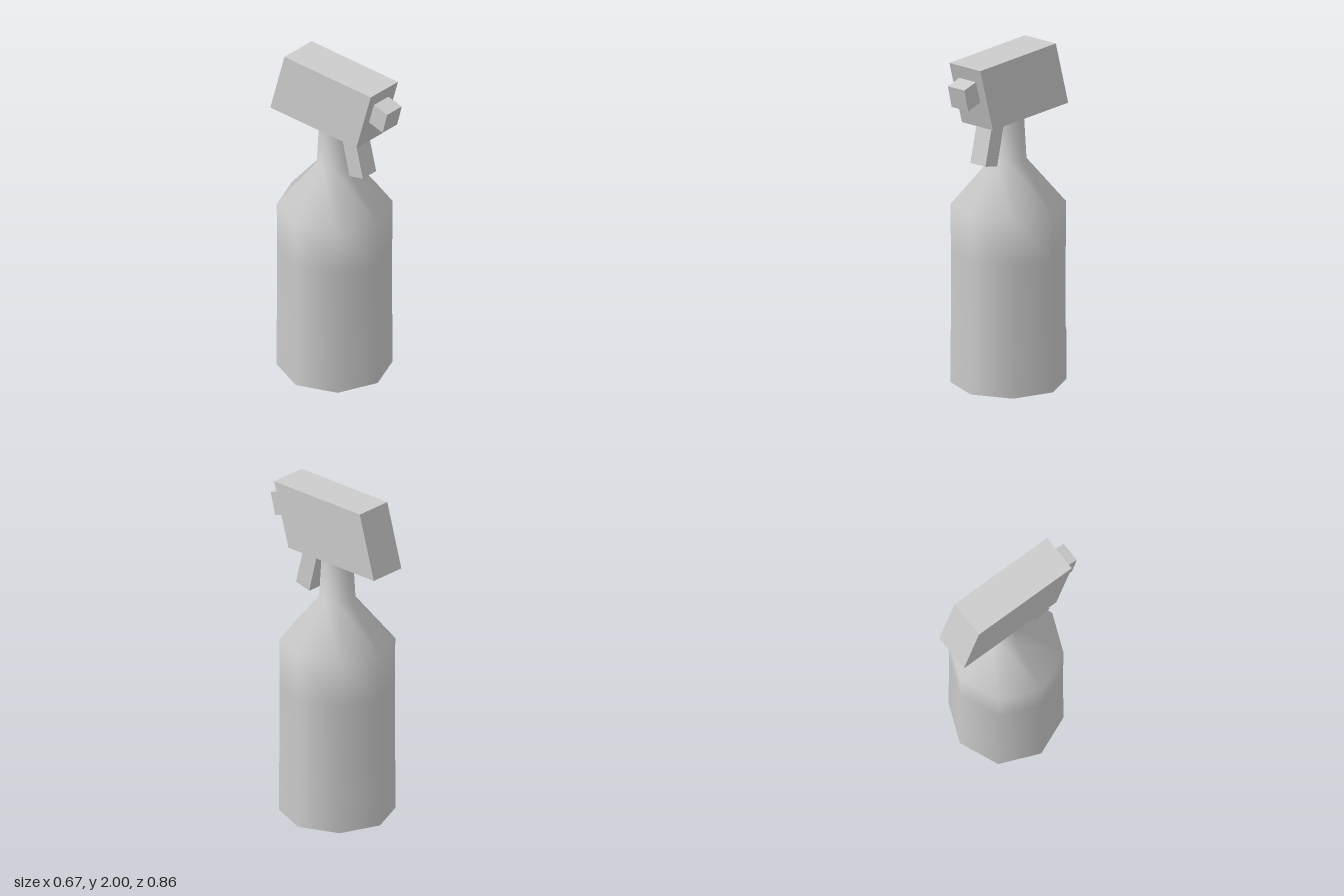
import * as THREE from 'three';

const grey = new THREE.MeshStandardMaterial({ color: 0xcccccc });
grey.name = 'grey plastic';

// Slab across x from a side outline of [z, y] points
function slab(name, outline, width) {
  const shape = new THREE.Shape(outline.map(([z, y]) => new THREE.Vector2(z, y)));
  const geometry = new THREE.ExtrudeGeometry(shape, { depth: width, bevelEnabled: false });
  geometry.translate(0, 0, -width / 2).rotateY(-Math.PI / 2);
  const mesh = new THREE.Mesh(geometry, grey);
  mesh.name = name;
  return mesh;
}

export function createModel() {
  const model = new THREE.Group();
  model.name = 'sprayBottle';
  const sides = 8;
  const axisZ = -0.035;

  // Smooth eight-sided bottle with shoulder and neck
  const profile = [
    [0.335, 0], [0.335, 0.3], [0.332, 0.32], [0.332, 0.8], [0.335, 1.08], [0.105, 1.35], [0.09, 1.62],
  ].map(([r, y]) => new THREE.Vector2(r, y));
  const bottle = new THREE.Mesh(new THREE.LatheGeometry(profile, sides), grey);
  bottle.name = 'bottle';
  bottle.position.z = axisZ;
  model.add(bottle);

  // Flat base
  const base = new THREE.Mesh(new THREE.CircleGeometry(0.335, sides).rotateX(Math.PI / 2), grey);
  base.name = 'base';
  base.position.z = axisZ;
  model.add(base);

  // Slanted spray head, nozzle and trigger
  model.add(
    slab('sprayHead', [[0.24, 1.613], [0.352, 2], [-0.32, 2], [-0.43, 1.613]], 0.234),
    slab('nozzle', [[0.395, 1.755], [0.43, 1.89], [0.32, 1.917], [0.285, 1.783]], 0.125),
    slab('trigger', [[0.132, 1.353], [0.236, 1.378], [0.172, 1.63], [0.064, 1.63]], 0.114),
  );
  return model;
}
